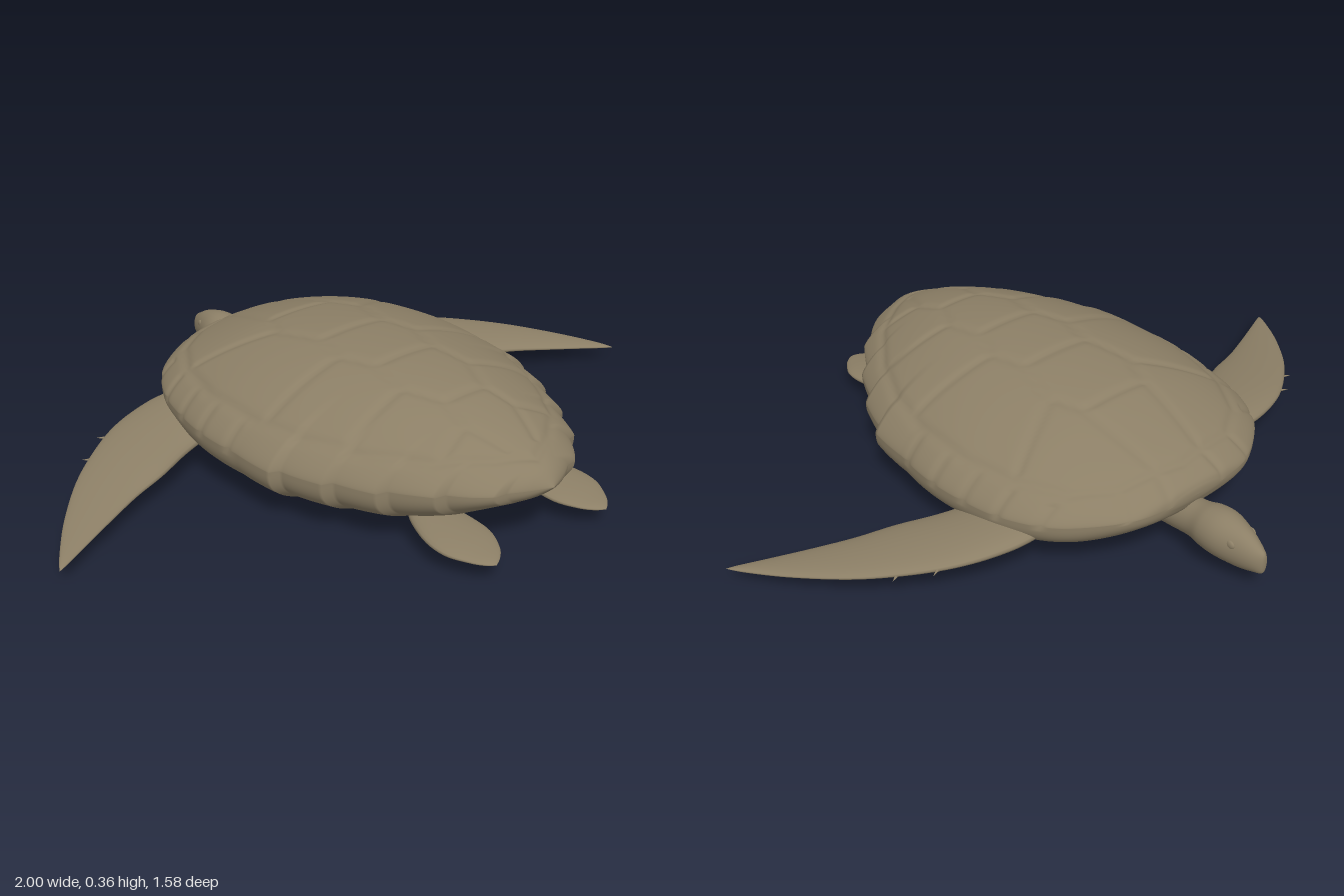
import * as THREE from 'three';

const skin = new THREE.MeshStandardMaterial({ color: 0x8c7f66 });
skin.name = 'olive brown';

// Smoothly interpolate the rows of a small key table, u from 0 to 1
function sample(keys, u) {
  const f = u * (keys.length - 1);
  const i = Math.min(Math.floor(f), keys.length - 2);
  const t = f - i;
  const k = (n) => keys[Math.max(0, Math.min(keys.length - 1, n))];
  return keys[0].map((_, c) => {
    const [a, b, d, e] = [k(i - 1)[c], k(i)[c], k(i + 1)[c], k(i + 2)[c]];
    return b + 0.5 * t * (d - a + t * (2 * a - 5 * b + 4 * d - e + t * (3 * (b - d) + e - a)));
  });
}

// Skin closed cross-sections; section(row, angle) returns a point
function loft(name, keys, rows, cols, section) {
  const pos = [], idx = [];
  for (let i = 0; i <= rows; i++) {
    const row = sample(keys, i / rows);
    for (let j = 0; j < cols; j++) {
      pos.push(...section(row, (j / cols) * Math.PI * 2));
      if (i === rows) continue;
      const a = i * cols + j, b = i * cols + ((j + 1) % cols);
      idx.push(a, b, a + cols, b, b + cols, a + cols);
    }
  }
  const g = new THREE.BufferGeometry();
  g.setAttribute('position', new THREE.Float32BufferAttribute(pos, 3));
  g.setIndex(idx);
  g.computeVertexNormals();
  const mesh = new THREE.Mesh(g, skin);
  mesh.name = name;
  return mesh;
}

// Scute seams on one half of the shell, as (x, z) polylines
const seams = [
  [[0, -0.49], [0.2, -0.46], [0.3, -0.39], [0.37, -0.27], [0.41, -0.1], [0.41, 0.1],
    [0.38, 0.25], [0.31, 0.42], [0.21, 0.57], [0.1, 0.66], [0, 0.71]],
  [[0.08, -0.48], [0.11, -0.23], [0.15, -0.13], [0.11, 0.01], [0.14, 0.12], [0.1, 0.23],
    [0.12, 0.35], [0.07, 0.46], [0.09, 0.55], [0.05, 0.66]],
  [[0, -0.23], [0.11, -0.23]], [[0, 0.01], [0.11, 0.01]],
  [[0, 0.23], [0.1, 0.23]], [[0, 0.46], [0.07, 0.46]],
  [[0.15, -0.14], [0.35, -0.25]], [[0.14, 0.12], [0.4, 0.14]],
  [[0.12, 0.35], [0.33, 0.38]], [[0.09, 0.55], [0.2, 0.58]],
  [[0.08, -0.48], [0.1, -0.56]], [[0.2, -0.46], [0.23, -0.54]],
];
const rimTicks = [-0.38, -0.27, -0.16, -0.05, 0.07];
const steps = [0.1, 0.24, 0.38, 0.51, 0.62, 0.72];

function seamDepth(x, z, edge) {
  let d = 1;
  for (const line of seams) {
    for (let i = 0; i < line.length - 1; i++) {
      const [ax, az] = line[i], dx = line[i + 1][0] - ax, dz = line[i + 1][1] - az;
      const t = Math.max(0, Math.min(1, ((x - ax) * dx + (z - az) * dz) / (dx * dx + dz * dz)));
      d = Math.min(d, Math.hypot(x - ax - t * dx, z - az - t * dz));
    }
  }
  if (edge > 0.88) for (const tz of rimTicks) d = Math.min(d, Math.abs(z - tz));
  return 0.006 * Math.exp(-((d / 0.012) ** 2));
}

// Rear rim plates overlap like saw teeth
function serration(z) {
  for (let i = 0; i < steps.length - 1; i++) {
    if (z >= steps[i] && z < steps[i + 1]) return 0.024 * (z - steps[i]) / (steps[i + 1] - steps[i]);
  }
  return 0;
}

function makeShell() {
  // z, half width, top, bottom, rim height
  const keys = [
    [-0.552, 0, 0.18, 0.18, 0.18], [-0.548, 0.1, 0.2, 0.16, 0.18], [-0.53, 0.2, 0.22, 0.13, 0.18],
    [-0.47, 0.3, 0.255, 0.085, 0.175], [-0.4, 0.375, 0.283, 0.055, 0.17], [-0.3, 0.43, 0.314, 0.03, 0.165],
    [-0.2, 0.457, 0.336, 0.018, 0.16], [-0.05, 0.478, 0.352, 0.006, 0.16], [0.1, 0.47, 0.357, 0.002, 0.16],
    [0.25, 0.435, 0.353, 0.008, 0.16], [0.38, 0.378, 0.34, 0.02, 0.165], [0.5, 0.312, 0.318, 0.04, 0.17],
    [0.6, 0.24, 0.29, 0.075, 0.18], [0.68, 0.165, 0.258, 0.12, 0.185], [0.74, 0.08, 0.228, 0.155, 0.19],
    [0.775, 0, 0.19, 0.19, 0.19],
  ];
  return loft('shell', keys, 200, 180, ([z, w, top, bottom, rim], a) => {
    const c = Math.cos(a), s = Math.sin(a);
    const x = (w + (Math.abs(c) > 0.5 ? serration(z) * (Math.abs(c) - 0.5) * 2 : 0)) * c;
    if (s < 0) return [x, rim - (rim - bottom) * Math.abs(s) ** 0.7, z];
    const cut = w > 0.05 ? seamDepth(Math.abs(x), z, Math.abs(c)) : 0;
    return [x - cut * c, rim + (top - rim) * s ** 1.4 - cut * s, z];
  });
}

function makeHead() {
  // z, half width, top, bottom
  const keys = [
    [-0.79, 0, 0.095, 0.095], [-0.786, 0.012, 0.125, 0.068], [-0.765, 0.026, 0.14, 0.06],
    [-0.72, 0.043, 0.163, 0.05], [-0.66, 0.06, 0.177, 0.048], [-0.61, 0.061, 0.174, 0.05],
    [-0.56, 0.05, 0.16, 0.052], [-0.48, 0.052, 0.15, 0.045], [-0.4, 0.05, 0.14, 0.04], [-0.32, 0, 0.09, 0.09],
  ];
  return loft('headAndNeck', keys, 60, 32, ([z, w, top, bottom], a) =>
    [w * Math.cos(a), (top + bottom) / 2 + ((top - bottom) / 2) * Math.sin(a), z]);
}

function makeFrontFlipper(side) {
  const group = new THREE.Group();
  group.name = side > 0 ? 'leftFrontFlipper' : 'rightFrontFlipper';
  // x, leading z, trailing z, height, half thickness
  const keys = [
    [0.24, -0.25, -0.25, 0.115, 0], [0.29, -0.345, -0.17, 0.113, 0.028], [0.4, -0.363, -0.125, 0.108, 0.032],
    [0.5, -0.345, -0.09, 0.1, 0.03], [0.6, -0.305, -0.045, 0.091, 0.025], [0.7, -0.238, -0.01, 0.08, 0.02],
    [0.8, -0.15, 0.035, 0.068, 0.015], [0.9, -0.03, 0.083, 0.055, 0.01], [0.97, 0.075, 0.117, 0.045, 0.006],
    [1, 0.13, 0.13, 0.04, 0],
  ];
  group.add(loft('flipperBlade', keys, 48, 28, ([x, lead, trail, y, th], a) => {
    const s = Math.sin(a * side), half = (trail - lead) / 2;
    return [side * x, y + th * Math.cos(a) - half * 0.11 * s, (lead + trail) / 2 + half * s];
  }));
  // Small claws on the leading edge
  for (const [x, z, y] of [[0.635, -0.283, 0.1], [0.715, -0.222, 0.087]]) {
    const claw = new THREE.Mesh(new THREE.ConeGeometry(0.008, 0.045, 8), skin);
    claw.name = 'claw';
    claw.position.set(side * x, y, z);
    claw.quaternion.setFromUnitVectors(new THREE.Vector3(0, 1, 0),
      new THREE.Vector3(side * 0.85, 0.05, -0.52).normalize());
    group.add(claw);
  }
  return group;
}

function makeRearFlipper(side) {
  // z, centre x, half width, height, half thickness
  const keys = [
    [0.46, 0.17, 0, 0.075, 0], [0.5, 0.175, 0.05, 0.072, 0.02], [0.6, 0.19, 0.078, 0.068, 0.02],
    [0.68, 0.193, 0.08, 0.064, 0.016], [0.74, 0.193, 0.052, 0.06, 0.01], [0.77, 0.195, 0.025, 0.057, 0.006],
    [0.785, 0.197, 0, 0.055, 0],
  ];
  return loft(side > 0 ? 'leftRearFlipper' : 'rightRearFlipper', keys, 30, 24, ([z, x, w, y, th], a) =>
    [side * x + w * Math.cos(a), y + th * Math.sin(a), z]);
}

export function createModel() {
  const turtle = new THREE.Group();
  turtle.name = 'seaTurtle';
  turtle.add(makeShell(), makeHead());
  for (const side of [1, -1]) {
    turtle.add(makeFrontFlipper(side), makeRearFlipper(side));
    // Slightly bulging eyes
    const eye = new THREE.Mesh(new THREE.SphereGeometry(0.014, 16, 12), skin);
    eye.name = side > 0 ? 'leftEye' : 'rightEye';
    eye.scale.set(0.5, 0.9, 1.1);
    eye.position.set(side * 0.039, 0.13, -0.705);
    turtle.add(eye);
  }
  return turtle;
}
